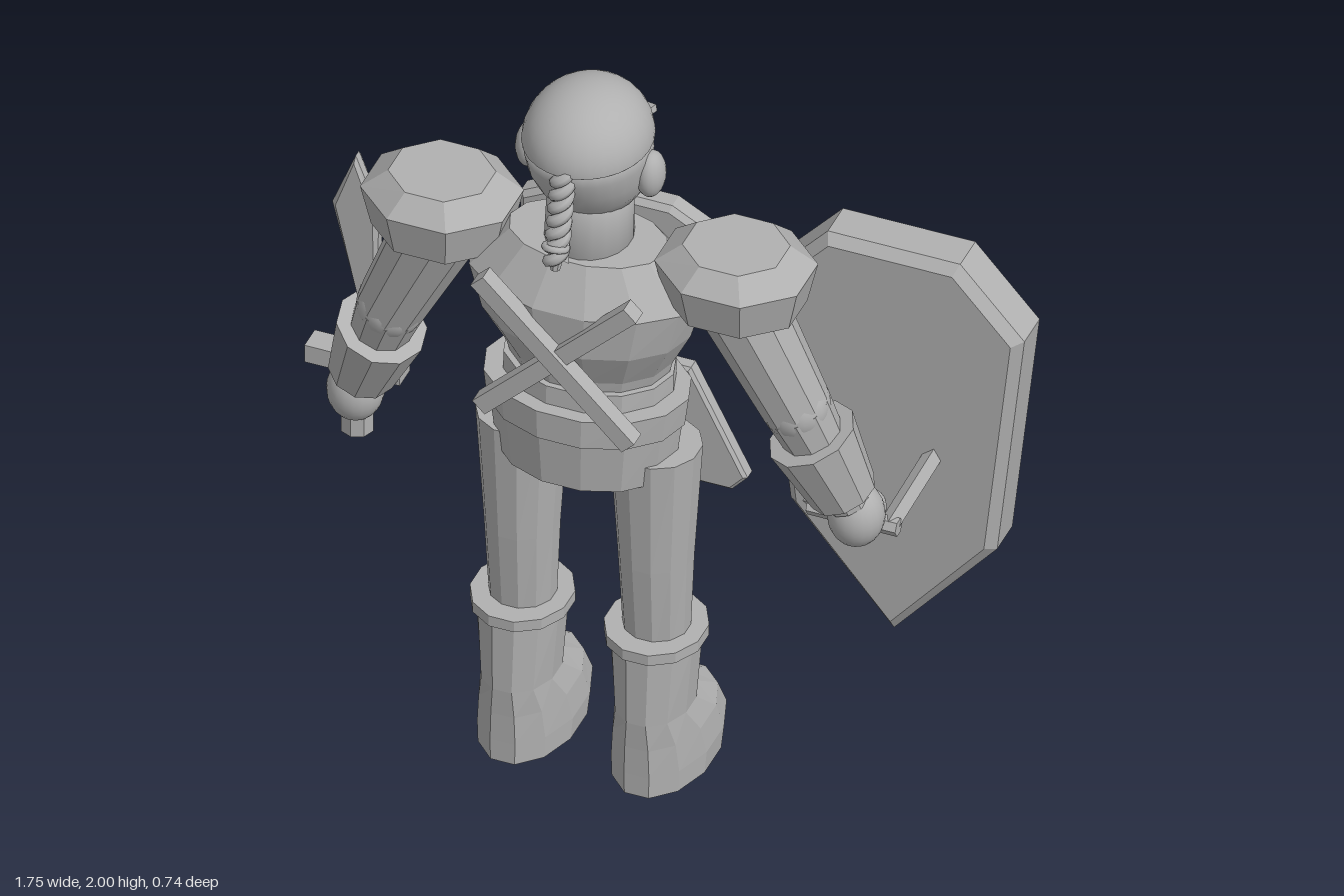
import * as THREE from 'three';

const flat = new THREE.MeshStandardMaterial({ color: 0xb0b0b0, flatShading: true, side: THREE.DoubleSide });
flat.name = 'stone grey';
const smooth = new THREE.MeshStandardMaterial({ color: 0xb0b0b0 });
smooth.name = 'smooth stone grey';
const V = (x, y, z) => new THREE.Vector3(x, y, z);

function add(parent, name, geo, mat = flat, pos = [0, 0, 0], rot = [0, 0, 0]) {
  const m = new THREE.Mesh(geo, mat);
  m.name = name;
  m.position.set(...pos);
  m.rotation.set(...rot);
  parent.add(m);
  return m;
}

// stack of elliptical rings [y, zCentre, xRadius, zRadius], bottom to top, capped
function loft(rings, n = 12) {
  const pos = [], idx = [];
  rings.forEach(([y, cz, rx, rz]) => {
    for (let i = 0; i < n; i++) {
      const a = (i / n) * Math.PI * 2 + Math.PI / n;
      pos.push(rx * Math.sin(a), y, cz + rz * Math.cos(a));
    }
  });
  const top = rings.length - 1, c = rings.length * n;
  pos.push(0, rings[0][0], rings[0][1], 0, rings[top][0], rings[top][1]);
  for (let i = 0; i < n; i++) {
    const k = (i + 1) % n;
    for (let j = 0; j < top; j++) {
      const a = j * n + i, b = j * n + k;
      idx.push(a, b, b + n, a, b + n, a + n);
    }
    idx.push(c, k, i, c + 1, top * n + i, top * n + k);
  }
  const g = new THREE.BufferGeometry();
  g.setAttribute('position', new THREE.Float32BufferAttribute(pos, 3));
  g.setIndex(idx);
  g.computeVertexNormals();
  return g;
}

// tapered rod from point a to point b
function rod(parent, name, a, b, ra, rb, sides = 10, mat = flat) {
  const d = b.clone().sub(a);
  const m = add(parent, name, new THREE.CylinderGeometry(rb, ra, d.length(), sides), mat);
  m.position.copy(a).addScaledVector(d, 0.5);
  m.quaternion.setFromUnitVectors(V(0, 1, 0), d.normalize());
  return m;
}

// extruded outline with chamfered rims, spanning z0..z1
function plate(parent, name, pts, z0, z1, bevel) {
  const g = new THREE.ExtrudeGeometry(new THREE.Shape(pts.map(p => new THREE.Vector2(...p))), {
    depth: z1 - z0 - 2 * bevel, bevelEnabled: true, bevelSize: bevel,
    bevelThickness: bevel, bevelOffset: -bevel, bevelSegments: 1,
  });
  return add(parent, name, g, flat, [0, 0, z0 + bevel]);
}
const mirrored = half => [...half, ...half.slice().reverse().map(([x, y]) => [-x, y])];

function ball(parent, name, p, s) {
  add(parent, name, new THREE.SphereGeometry(1, 20, 14), smooth, p).scale.set(...s);
}

function buildHead(body) {
  const head = new THREE.Group();
  head.name = 'head';
  body.add(head);
  add(head, 'face', loft([[1.655, 0.09, 0.08, 0.09], [1.68, 0.1, 0.112, 0.125], [1.72, 0.11, 0.135, 0.148],
    [1.77, 0.125, 0.148, 0.163], [1.82, 0.135, 0.153, 0.17], [1.87, 0.14, 0.153, 0.172]], 28), smooth);
  add(head, 'skull', new THREE.SphereGeometry(1, 28, 12, 0, Math.PI * 2, 0, Math.PI / 2), smooth, [0, 1.855, 0.14])
    .scale.set(0.157, 0.145, 0.176);
  add(head, 'neck', loft([[1.53, 0.135, 0.108, 0.115], [1.7, 0.125, 0.103, 0.11]], 20), smooth);
  for (const s of [-1, 1]) {
    ball(head, 'ear', [s * 0.155, 1.775, 0.125], [0.035, 0.063, 0.046]);
    add(head, 'eyebrow', new THREE.BoxGeometry(0.085, 0.018, 0.03), flat, [s * 0.065, 1.845, -0.022], [0, -s * 0.35, s * 0.2]);
    add(head, 'eye', new THREE.BoxGeometry(0.06, 0.012, 0.02), flat, [s * 0.06, 1.805, -0.022], [0, -s * 0.35, 0]);
  }
  rod(head, 'nose', V(0, 1.75, -0.085), V(0, 1.81, -0.015), 0.03, 0.012, 4);
  add(head, 'mouth', new THREE.BoxGeometry(0.09, 0.012, 0.02), flat, [0, 1.71, -0.035]);

  // braid of two twisted strands with a tie ring
  for (const k of [0, 1]) {
    const pts = [];
    for (let i = 0; i <= 40; i++) {
      const t = i / 40, a = t * Math.PI * 7 + k * Math.PI, r = 0.017;
      pts.push(V(r * Math.cos(a), 1.86 - 0.24 * t, 0.295 + 0.05 * t + r * Math.sin(a)));
    }
    add(head, 'braidStrand', new THREE.TubeGeometry(new THREE.CatmullRomCurve3(pts), 60, 0.016, 7), smooth);
  }
  add(head, 'braidRing', new THREE.TorusGeometry(0.026, 0.009, 8, 16), smooth, [0, 1.665, 0.345], [1.2, 0, 0]);
  rod(head, 'braidTail', V(0, 1.6, 0.348), V(0, 1.66, 0.335), 0.012, 0.024, 8);
}

function buildTorso(body) {
  add(body, 'torso', loft([[1.16, 0.12, 0.195, 0.15], [1.22, 0.125, 0.21, 0.155], [1.33, 0.145, 0.265, 0.185],
    [1.45, 0.145, 0.3, 0.19], [1.56, 0.14, 0.2, 0.125]], 14));
  add(body, 'waist', loft([[1.13, 0.13, 0.215, 0.165], [1.19, 0.13, 0.215, 0.16]], 14));
  add(body, 'belt', loft([[1.06, 0.145, 0.25, 0.185], [1.14, 0.145, 0.26, 0.185]], 14));
  add(body, 'hips', loft([[0.92, 0.145, 0.225, 0.17], [1.06, 0.145, 0.243, 0.178]], 14));
  add(body, 'buckle', new THREE.BoxGeometry(0.1, 0.065, 0.07), flat, [0, 1.11, -0.065]);

  plate(body, 'breastplate', mirrored([[0.18, 1.2], [0.26, 1.4], [0.26, 1.46], [0.13, 1.53]]), -0.125, -0.055, 0.014);
  for (const s of [-1, 1]) {
    ball(body, 'rivet', [s * 0.19, 1.44, -0.13], [0.018, 0.018, 0.025]);
    plate(body, 'hipPlate', [[0.03, 1.07], [0.185, 1.07], [0.33, 0.78], [0.29, 0.735], [0.06, 0.735], [0.035, 0.79]]
      .map(([x, y]) => [s * x, y]), -0.09, -0.045, 0.008);
    // crossed straps on the back
    add(body, 'backStrap', new THREE.BoxGeometry(0.045, 0.55, 0.045), flat, [0, 1.325, 0.338 + s * 0.006], [0, 0, s * Math.PI / 4]);
  }
}

function buildLimbs(body) {
  for (const s of [-1, 1]) {
    const leg = new THREE.Group();
    leg.name = s > 0 ? 'leftLeg' : 'rightLeg';
    leg.position.x = s * 0.172;
    body.add(leg);
    add(leg, 'thigh', loft([[0.38, 0.13, 0.08, 0.08], [0.65, 0.135, 0.092, 0.095], [0.98, 0.135, 0.113, 0.11]]));
    add(leg, 'bootCuff', loft([[0.405, 0.132, 0.125, 0.138], [0.435, 0.132, 0.125, 0.138]]));
    add(leg, 'boot', loft([[0, 0.062, 0.12, 0.203], [0.06, 0.055, 0.124, 0.21], [0.14, 0.078, 0.115, 0.187],
      [0.215, 0.138, 0.095, 0.128], [0.41, 0.135, 0.11, 0.125]]));

    const arm = new THREE.Group();
    arm.name = s > 0 ? 'leftArm' : 'rightArm';
    body.add(arm);
    const p = (x, y, z) => V(s * x, y, z);
    rod(arm, 'upperArm', p(0.37, 1.5, 0.135), p(0.52, 1.17, 0.105), 0.108, 0.085);
    ball(arm, 'elbow', [s * 0.52, 1.17, 0.105], [0.084, 0.084, 0.084]);
    rod(arm, 'forearm', p(0.52, 1.17, 0.105), p(0.63, 0.87, 0.045), 0.085, 0.055);
    rod(arm, 'bracer', p(0.552, 1.08, 0.088), p(0.618, 0.9, 0.05), 0.112, 0.084);
    ball(arm, 'hand', [s * 0.643, 0.825, 0.03], [0.07, 0.085, 0.07]);
    ball(arm, 'thumb', [s * 0.6, 0.85, -0.02], [0.035, 0.04, 0.04]);
    ball(arm, 'fingers', [s * 0.66, 0.82, -0.015], [0.04, 0.045, 0.04]);
    add(arm, 'pauldron', loft([[1.47, 0.135, 0.172, 0.152], [1.58, 0.135, 0.198, 0.176], [1.632, 0.135, 0.13, 0.12]], 8), flat,
      [s * 0.378, 0, 0]);
  }
}

function buildSword(root) {
  const sword = new THREE.Group();
  sword.name = 'sword';
  sword.position.set(-0.752, 0, 0.022);
  root.add(sword);
  plate(sword, 'blade', mirrored([[0.055, 0.9], [0.06, 1.37], [0, 1.525]]).slice(0, 5).filter((q, i) => i !== 3),
    -0.022, 0.022, 0.012);
  add(sword, 'guard', new THREE.BoxGeometry(0.245, 0.05, 0.065), flat, [0, 0.908, 0]);
  add(sword, 'grip', new THREE.CylinderGeometry(0.042, 0.042, 0.2, 8), flat, [0, 0.8, 0]);
}

function buildShield(root) {
  const shield = new THREE.Group();
  shield.name = 'shield';
  shield.position.x = 0.54;
  root.add(shield);
  const outline = [[0, 0.325], [0.265, 0.64], [0.335, 1.285], [0.17, 1.47], [-0.17, 1.47], [-0.335, 1.285], [-0.265, 0.64]];
  const scaled = k => outline.map(([x, y]) => [x * k, 0.98 + (y - 0.98) * k]);
  plate(shield, 'shieldBody', outline, -0.31, -0.165, 0.025);
  plate(shield, 'shieldStep', scaled(0.87), -0.328, -0.29, 0.008);
  plate(shield, 'shieldFace', scaled(0.79), -0.345, -0.3, 0.008);

  // round boss with a fan of spikes
  const c = V(0, 1.12, -0.347);
  add(shield, 'bossRing', new THREE.TorusGeometry(0.1, 0.014, 8, 28), smooth, c.toArray());
  add(shield, 'bossDisc', new THREE.CylinderGeometry(0.083, 0.083, 0.02, 24), flat, c.toArray(), [Math.PI / 2, 0, 0]);
  for (let i = 0; i < 7; i++) {
    const a = Math.PI * i / 6, d = V(Math.cos(a), Math.sin(a), 0);
    rod(shield, 'bossSpike', c.clone().addScaledVector(d, 0.13), c.clone().addScaledVector(d, 0.188), 0.015, 0.002, 6);
  }

  // handle behind the shield
  for (const s of [-1, 1])
    rod(shield, 'handleArm', V(s * 0.1 - 0.035, 0.79, 0), V(s * 0.1 + 0.01, 0.895, -0.18), 0.024, 0.024, 4);
  rod(shield, 'handleGrip', V(-0.14, 0.79, 0.0), V(0.09, 0.79, 0.0), 0.023, 0.023, 6);
}

export function createModel() {
  const root = new THREE.Group();
  root.name = 'warrior';
  const body = new THREE.Group();
  body.name = 'body';
  body.position.x = -0.11;
  root.add(body);
  buildHead(body);
  buildTorso(body);
  buildLimbs(body);
  buildSword(root);
  buildShield(root);
  return root;
}
